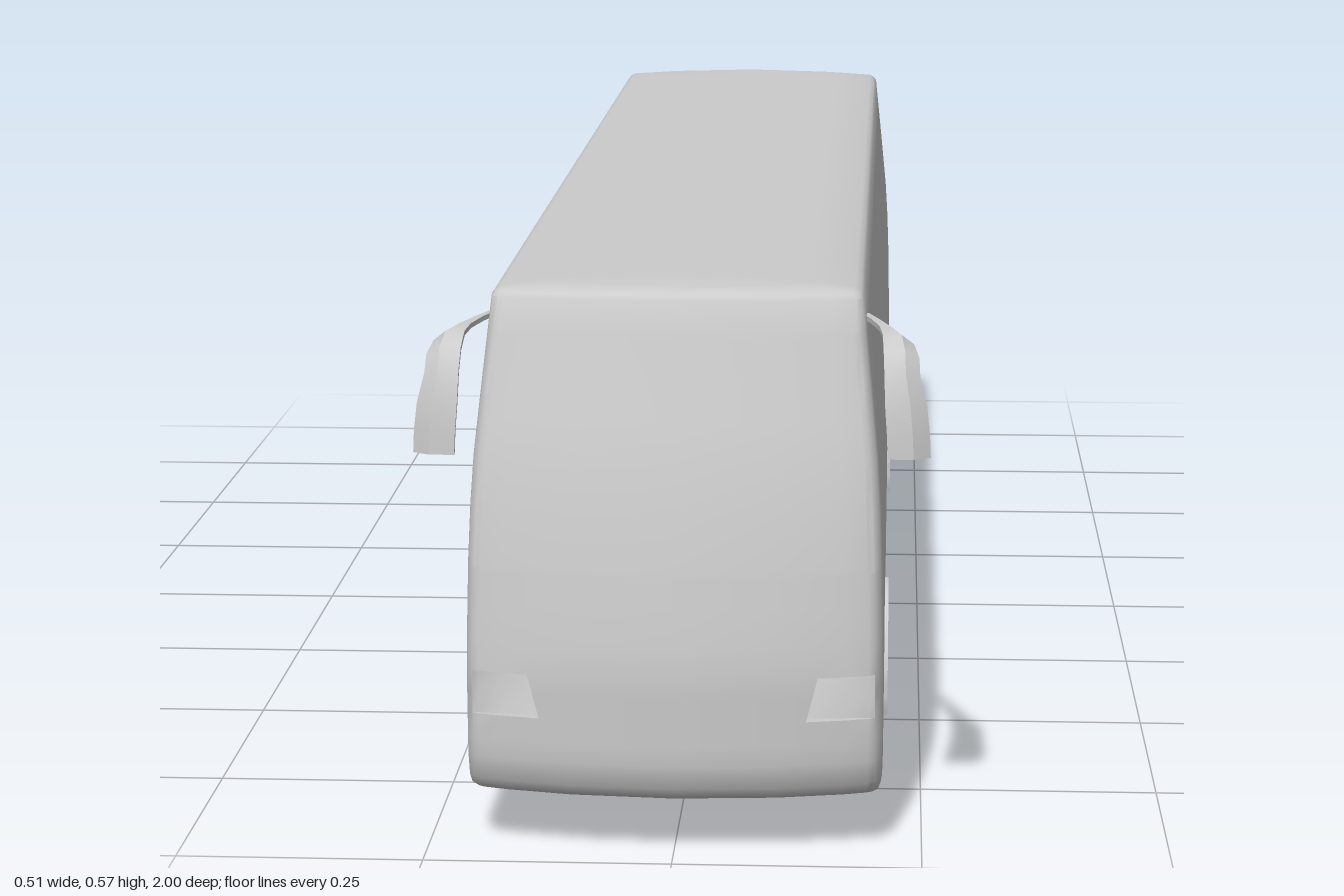
import * as THREE from 'three';
import { toCreasedNormals } from 'three/addons/utils/BufferGeometryUtils.js';

const SILL = 0.056, ARCH_Y = 0.088, ARCH_R = 0.093;
const AXLES = [0.565, -0.48];
const material = new THREE.MeshStandardMaterial({ color: 0xcccccc });
const thin = new THREE.MeshStandardMaterial({ color: 0xcccccc, side: THREE.DoubleSide });

// Piecewise linear lookup in a table of [key, value]
function at(table, k) {
  for (let i = 1; i < table.length; i++) {
    const [a, va] = table[i - 1], [b, vb] = table[i];
    if (k <= b) return va + (vb - va) * Math.max(0, (k - a) / (b - a));
  }
  return table[table.length - 1][1];
}

// Body rules: half width, front and rear ends by height, front bow by width fraction
const WIDTH = [[0.056, 0.207], [0.08, 0.21], [0.2, 0.21], [0.3, 0.208], [0.38, 0.205], [0.48, 0.195],
  [0.556, 0.187], [0.5605, 0.184], [0.564, 0.178], [0.567, 0.132], [0.57, 0]];
const FRONT = [[0.056, 0.95], [0.058, 0.968], [0.064, 0.982], [0.075, 0.991], [0.1, 0.997], [0.2, 1], [0.3, 0.985],
  [0.4, 0.963], [0.5, 0.932], [0.556, 0.915], [0.5605, 0.912], [0.564, 0.906], [0.567, 0.886], [0.57, 0.85]];
const REAR = [[0.056, -1], [0.14, -1], [0.142, -0.995], [0.3, -0.992], [0.46, -0.982], [0.556, -0.975], [0.57, -0.965]];
const BOW = [[0, 0], [0.5, 0.008], [0.9, 0.025], [0.96, 0.032], [0.99, 0.042], [1, 0.06]];
const bow = (f, y) => at(BOW, f) * at([[0.2, 1], [0.556, 0.65]], y);
const underside = z => at([[-0.96, 0.075], [-0.89, SILL]], z);

// Joins closed rings of points into a surface
function loft(rings) {
  const n = rings[0].length, index = [];
  for (let i = 0; i < rings.length - 1; i++) {
    for (let j = 0; j < n; j++) {
      const a = i * n + j, b = i * n + (j + 1) % n;
      index.push(a, b, b + n, a, b + n, a + n);
    }
  }
  const g = new THREE.BufferGeometry();
  g.setAttribute('position', new THREE.Float32BufferAttribute(rings.flat(2), 3));
  g.setIndex(index);
  return toCreasedNormals(g, 0.6);
}

// Columns of the body from front centre to rear centre
function bodyColumns() {
  const cols = [];
  const front = (f, lamp = 0, slant = 0) => cols.push({ f, lamp, slant, y0: SILL });
  [0, 0.25, 0.5].forEach(f => front(f));
  front(0.69, 0, 1);
  front(0.69, 1, 1);
  front(0.82, 0.65);
  front(0.93, 0.3);
  [0.96, 0.99, 1].forEach(f => front(f));
  const side = (z, y0 = underside(z)) => cols.push({ z, y0 });
  side(0.75);
  AXLES.forEach((c, k) => {
    // The sill rises over each wheel
    for (let i = 0; i <= 24; i++) {
      const a = Math.PI * i / 24, cos = Math.cos(a);
      side(c + 0.09 * Math.sign(cos) * Math.abs(cos) ** 0.7, SILL + 0.125 * Math.sin(a));
    }
    if (k === 0) [0.3, 0, -0.25].forEach(z => side(z));
  });
  [-0.7, -0.89, -0.957].forEach(z => side(z));
  const rear = (r, recess = 0) => cols.push({ r, recess, y0: 0.075 });
  rear(0.84);
  rear(0.82);
  rear(0.79, 0.7);
  rear(0.72, 1);
  rear(0.4, 1);
  rear(0, 1);
  return cols;
}

function bodyPoint(row, col, s) {
  let y = row.y;
  if (y < 0.4) y = col.y0 + (0.4 - col.y0) * (y - SILL) / (0.4 - SILL);
  const w = at(WIDTH, y);
  if (col.f !== undefined) {
    const f = col.f - (col.slant ? 0.055 * Math.min(1, Math.max(0, (0.19 - y) / 0.045)) : 0);
    return [s * f * w, y, at(FRONT, y) - bow(f, y) - 0.024 * col.lamp * (row.lamp || 0)];
  }
  if (col.r !== undefined) return [s * col.r * w, y, at(REAR, y) + col.recess * (row.recess || 0)];
  return [s * w, y, col.z];
}

function bodyShell() {
  const rows = [0.056, 0.058, 0.064, 0.075, 0.1, 0.12, 0.125].map(y => ({ y }));
  rows.push({ y: 0.145 }, { y: 0.145, lamp: 0.5 }, { y: 0.17, lamp: 0.8, recess: 0.004 },
    { y: 0.19, lamp: 1, recess: 0.01 }, { y: 0.19, recess: 0.01 }, { y: 0.22, recess: 0.02 },
    { y: 0.26, recess: 0.028 }, { y: 0.29, recess: 0.026 }, { y: 0.295 });
  [0.35, 0.4, 0.44, 0.48, 0.52, 0.556, 0.5605, 0.564, 0.567, 0.57].forEach(y => rows.push({ y }));
  const cols = bodyColumns();
  const mirrored = cols.slice(1, -1).reverse();
  return loft(rows.map(r => [...cols.map(c => bodyPoint(r, c, 1)), ...mirrored.map(c => bodyPoint(r, c, -1))]));
}

// Left mirror: a curved plate swept forward and down; stations are [inner x, outer x, y, z]
function mirrorGeometry() {
  const path = [[0.184, 0.196, 0.531, 0.845], [0.195, 0.208, 0.531, 0.88], [0.203, 0.222, 0.531, 0.92],
    [0.206, 0.237, 0.529, 0.95], [0.207, 0.242, 0.518, 0.972], [0.208, 0.243, 0.498, 0.985],
    [0.209, 0.25, 0.468, 0.993], [0.211, 0.253, 0.44, 0.996], [0.212, 0.254, 0.417, 0.997]];
  const rings = path.map(([xi, xo, y, z], i) => {
    const a = path[Math.max(0, i - 1)], b = path[Math.min(path.length - 1, i + 1)];
    const dy = b[2] - a[2], dz = b[3] - a[3], l = Math.hypot(dy, dz);
    const edge = -0.25 * (xo - xi);
    const section = [[0, 0.0025], [0, -0.0025], [0.6, -0.0025], [1, edge - 0.0025], [1, edge], [0.6, 0.0025]];
    return section.map(([u, t]) => [xi + (xo - xi) * u, y + dz / l * t, z - dy / l * t]);
  });
  const end = r => r.map(() => [0, 1, 2].map(k => r.reduce((sum, p) => sum + p[k] / r.length, 0)));
  return loft([end(rings[0]), ...rings, end(rings[rings.length - 1])]);
}

export function createModel() {
  const model = new THREE.Group();
  const add = (name, geometry, parent = model, mat = material) => {
    const m = new THREE.Mesh(geometry, mat);
    m.name = name;
    parent.add(m);
    return m;
  };

  // Hollow shell, open underneath
  add('body', bodyShell(), model, thin);

  // Wheels, wheel wells and arch trims
  const low = 0.34, arc = Math.PI + 2 * low;
  const trim = new THREE.Shape();
  trim.absarc(0, 0, 0.096, -low, Math.PI + low, false);
  trim.absarc(0, 0, 0.089, Math.PI + low, -low, true);
  const trimGeometry = toCreasedNormals(
    new THREE.ExtrudeGeometry(trim, { depth: 0.018, bevelEnabled: false, curveSegments: 24 }), 0.6);
  trimGeometry.rotateY(Math.PI / 2);
  const tread = toCreasedNormals(
    new THREE.CylinderGeometry(0.085, 0.085, 0.06, 14, 1, false, Math.PI / 14).rotateZ(Math.PI / 2), 0.2);
  const cap = toCreasedNormals(new THREE.CylinderGeometry(0.085, 0.085, 0.008, 40).rotateZ(Math.PI / 2), 0.6);
  const well = new THREE.CylinderGeometry(ARCH_R, ARCH_R, 0.08, 24, 1, true, Math.PI / 2 - arc / 2, arc);
  well.rotateZ(Math.PI / 2);
  const wellWall = new THREE.CircleGeometry(ARCH_R, 24, -low, arc).rotateY(Math.PI / 2);

  for (const s of [1, -1]) {
    AXLES.forEach((z, i) => {
      const corner = new THREE.Group();
      corner.name = (i ? 'rear' : 'front') + (s > 0 ? 'Left' : 'Right') + 'Wheel';
      corner.position.z = z;
      model.add(corner);
      add('tread', tread, corner).position.set(s * 0.169, 0.085, 0);
      add('wheelCap', cap, corner).position.set(s * 0.203, 0.085, 0);
      add('wheelWell', well, corner, thin).position.set(s * 0.17, ARCH_Y, 0);
      add('wellWall', wellWall, corner, thin).position.set(s * 0.13, ARCH_Y, 0);
      add('archTrim', trimGeometry, corner).position.set(s > 0 ? 0.196 : -0.214, 0.085, 0);
    });
    add(s > 0 ? 'leftMirror' : 'rightMirror', mirrorGeometry(), model, thin).scale.x = s;
  }
  return model;
}
